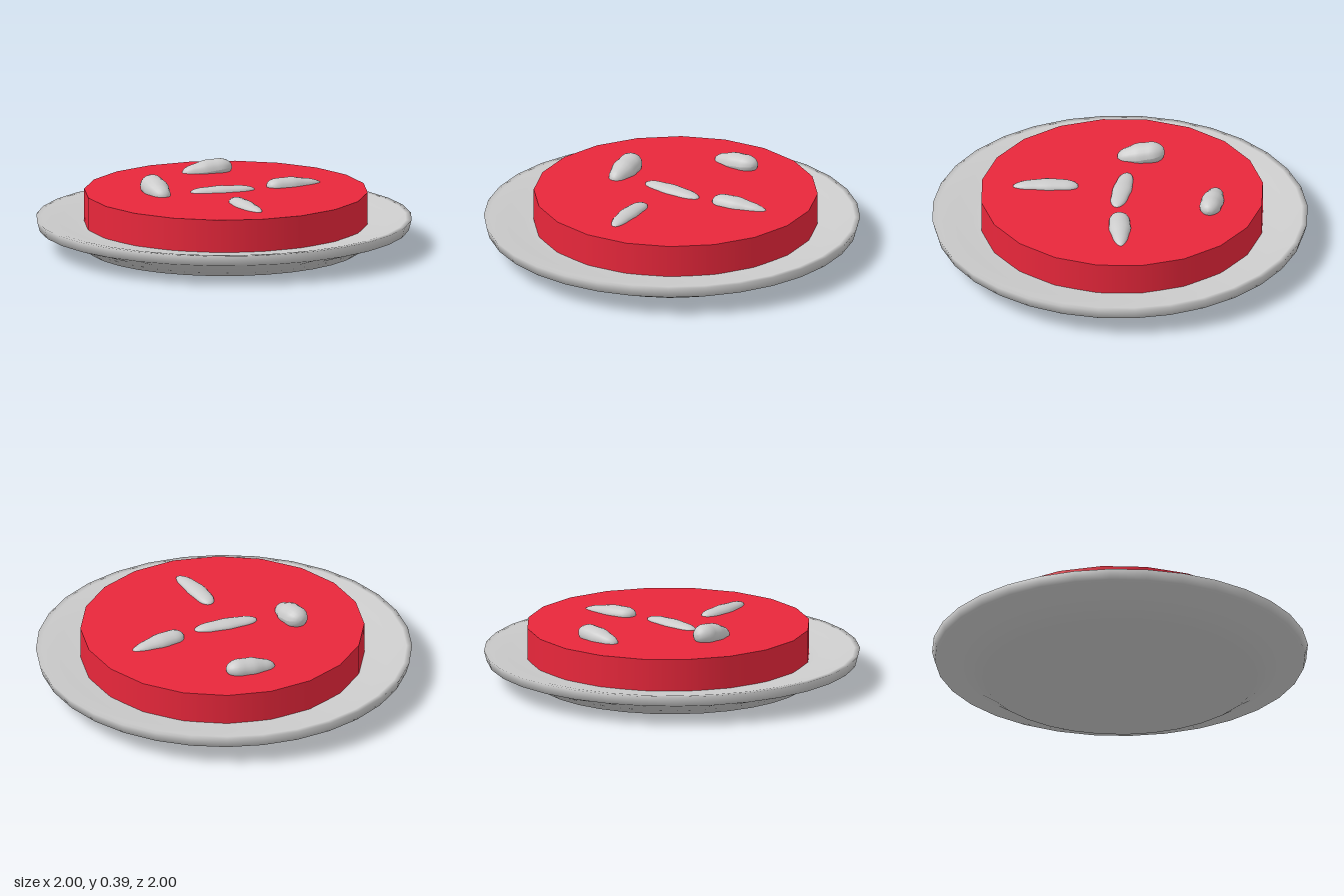
import * as THREE from 'three';

const grey = new THREE.MeshStandardMaterial({ color: 0xcccccc });
const red = new THREE.MeshStandardMaterial({ color: 0xe8273b });

function addMesh(parent, name, geometry, material) {
  const mesh = new THREE.Mesh(geometry, material);
  mesh.name = name;
  parent.add(mesh);
  return mesh;
}

// A blunt, slightly lumpy kernel lying from a to b; taper > 0 thickens the b end, bend bows it sideways
function kernel(parent, name, a, b, halfWidth, halfHeight, taper = 0, bend = 0) {
  const from = new THREE.Vector3(...a), to = new THREE.Vector3(...b);
  const halfLength = from.distanceTo(to) / 2;
  const geometry = new THREE.SphereGeometry(1, 18, 16).rotateX(Math.PI / 2);
  const p = geometry.attributes.position;
  for (let i = 0; i < p.count; i++) {
    const u = p.getZ(i);
    const blunt = Math.pow(Math.max(1 - u * u, 0.01), -0.1);
    const girth = blunt * (1 + taper * u) * (1 + 0.04 * Math.sin(9 * u + halfWidth * 40));
    p.setXYZ(i,
      p.getX(i) * halfWidth * girth + bend * (1 - u * u),
      p.getY(i) * halfHeight * girth,
      u * halfLength);
  }
  geometry.computeVertexNormals();
  const mesh = addMesh(parent, name, geometry, grey);
  mesh.position.copy(from).add(to).multiplyScalar(0.5);
  mesh.lookAt(to);
}

export function createModel() {
  const model = new THREE.Group();
  model.name = 'cakeOnPlate';

  // Shallow plate with a raised rim
  const profile = [[0, 0], [0.73, 0], [0.81, 0.055], [0.985, 0.11], [1, 0.165],
    [0.97, 0.165], [0.88, 0.15], [0.78, 0.135], [0.7, 0.125], [0, 0.125]];
  addMesh(model, 'plate',
    new THREE.LatheGeometry(profile.map(([r, y]) => new THREE.Vector2(r, y)), 32), grey);

  // Round cake, set slightly off centre
  const cake = addMesh(model, 'cake', new THREE.CylinderGeometry(0.755, 0.755, 0.195, 20), red);
  cake.position.set(0.015, 0.2075, -0.013);
  cake.rotation.y = -0.06;

  // Kernels scattered on top
  const toppings = new THREE.Group();
  toppings.name = 'toppings';
  model.add(toppings);
  kernel(toppings, 'backKernel', [-0.07, 0.3, -0.51], [0.2, 0.33, -0.495], 0.059, 0.052, 0.15);
  kernel(toppings, 'rightKernel', [-0.345, 0.3, 0.055], [-0.365, 0.345, -0.195], 0.066, 0.06, 0.15);
  kernel(toppings, 'centreKernel', [-0.18, 0.305, -0.02], [0.17, 0.305, 0.0], 0.05, 0.028);
  kernel(toppings, 'leftKernel', [0.25, 0.31, -0.025], [0.56, 0.3, -0.07], 0.055, 0.04, -0.35);
  kernel(toppings, 'frontKernel', [-0.02, 0.305, 0.225], [0.02, 0.305, 0.57], 0.05, 0.03, -0.15, -0.01);

  return model;
}
